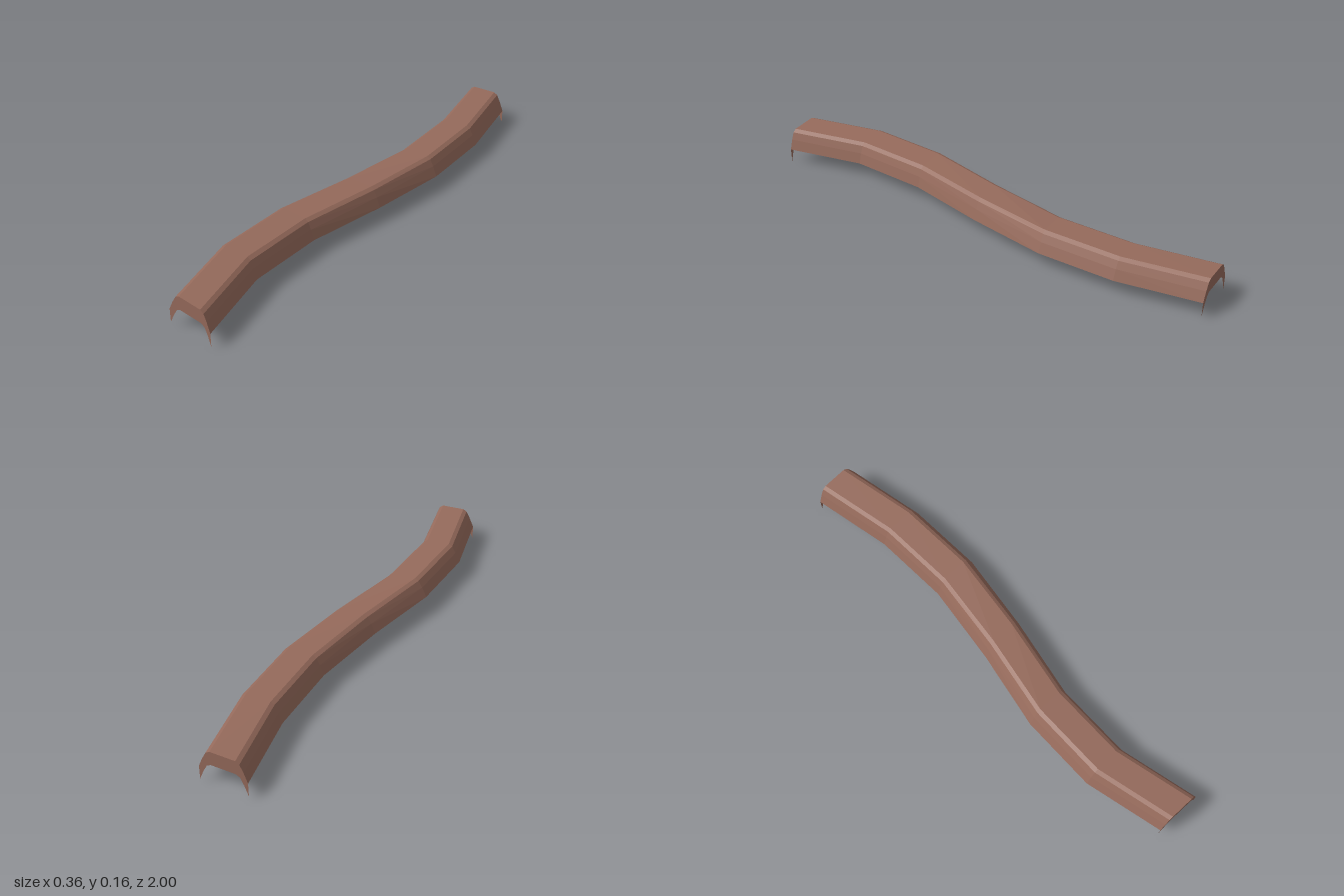
import * as THREE from 'three';

// Half-arch cross-section: offset from the centre line, height above the hem
const HALF = [[0.1, 0], [0.083, 0.043], [0.068, 0.073], [0.052, 0.083]];
const PROFILE = [...HALF.map(([x, y]) => [-x, y]), ...HALF.slice().reverse()];

// Stations along the path: z, centre x, hem height, roll, yaw (radians)
const STATIONS = [
  [-1.0, 0.02, 0.067, 0.02, 0],
  [-0.66, 0.075, 0.066, 0.01, 0],
  [-0.335, 0.075, 0.066, 0.01, 0],
  [0.0, 0.015, 0.069, -0.04, 0],
  [0.335, -0.065, 0.071, -0.08, 0.02],
  [0.66, -0.083, 0.072, -0.08, 0.02],
  [0.992, -0.018, 0.068, -0.08, 0.05],
];
const SKIRT_DROP = 0.06;

function ring([z, cx, hem, roll, yaw]) {
  const c = Math.cos(roll), s = Math.sin(roll);
  return PROFILE.map(([x, y]) =>
    new THREE.Vector3(cx + x * c - y * s, hem + x * s + y * c, z + x * yaw));
}

// Skin consecutive rings with quads
function loft(rings) {
  const n = rings[0].length, index = [];
  for (let i = 0; i < rings.length - 1; i++) {
    for (let j = 0; j < n - 1; j++) {
      const a = i * n + j, b = a + n;
      index.push(a, b, a + 1, b, b + 1, a + 1);
    }
  }
  const geo = new THREE.BufferGeometry().setFromPoints(rings.flat());
  geo.setIndex(index);
  const flat = geo.toNonIndexed(); // separate facets
  flat.computeVertexNormals();
  return flat;
}

export function createModel() {
  const group = new THREE.Group();
  group.name = 'windingArch';
  const clay = new THREE.MeshStandardMaterial({ color: 0x956a5b, side: THREE.DoubleSide });
  clay.name = 'clayBrown';
  const add = (name, geo) => {
    const mesh = new THREE.Mesh(geo, clay);
    mesh.name = name;
    group.add(mesh);
  };

  // Winding open-bottomed shell
  const rings = STATIONS.map(ring);
  add('archShell', loft(rings));

  // Arch-shaped skirts hanging from both ends
  const lowered = (r) => r.map((p) => new THREE.Vector3(p.x, Math.max(0, p.y - SKIRT_DROP), p.z));
  const front = rings[rings.length - 1], back = rings[0];
  add('frontSkirt', loft([front, lowered(front)]));
  add('backSkirt', loft([lowered(back), back]));
  return group;
}
